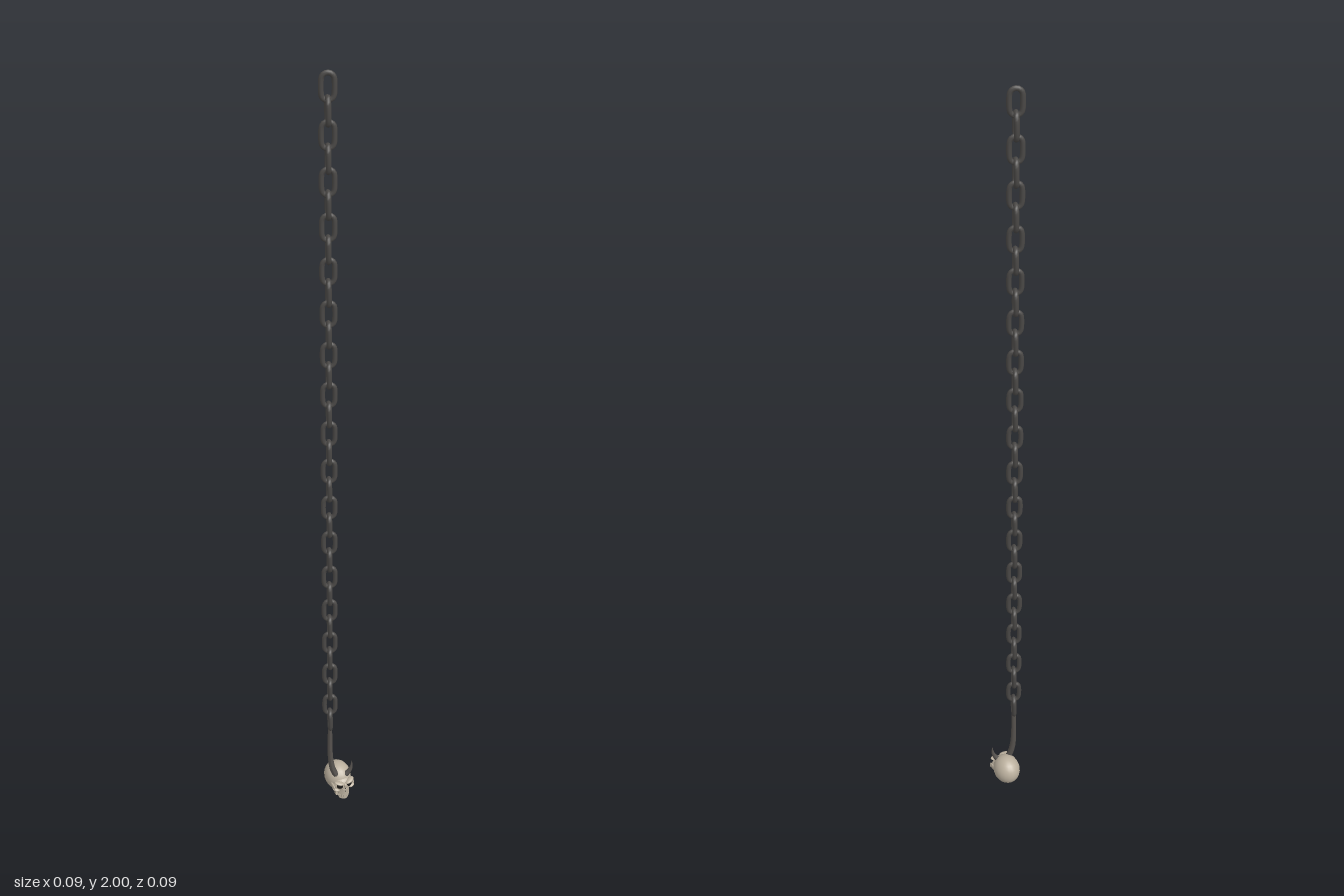
import * as THREE from 'three';

const bone = new THREE.MeshStandardMaterial({ color: 0xbbb09e });
const iron = new THREE.MeshStandardMaterial({ color: 0x4a4846 });
const dark = new THREE.MeshStandardMaterial({ color: 0x1c1a18 });
const hornMat = new THREE.MeshStandardMaterial({ color: 0x55514d });

function add(parent, name, geometry, material, pos = [0, 0, 0], scale = [1, 1, 1], rot = [0, 0, 0]) {
  const m = new THREE.Mesh(geometry, material);
  m.name = name;
  m.position.set(...pos);
  m.scale.set(...scale);
  m.rotation.set(...rot);
  parent.add(m);
  return m;
}

// Tube along points whose radius shrinks from r0 to r1
function taperedTube(points, r0, r1, segments, sides) {
  const curve = new THREE.CatmullRomCurve3(points.map(p => new THREE.Vector3(...p)));
  const geo = new THREE.TubeGeometry(curve, segments, r0, sides);
  const pos = geo.attributes.position, v = new THREE.Vector3();
  for (let i = 0; i < pos.count; i++) {
    const t = Math.floor(i / (sides + 1)) / segments;
    const c = curve.getPointAt(t);
    v.fromBufferAttribute(pos, i).sub(c).multiplyScalar(THREE.MathUtils.lerp(1, r1 / r0, t)).add(c);
    pos.setXYZ(i, v.x, v.y, v.z);
  }
  geo.computeVertexNormals();
  return geo;
}

// Oblong chain link standing in the xy plane
function linkGeometry() {
  const pts = [], r = 0.0138, straight = 0.0152;
  for (const end of [1, -1]) {
    for (let i = 0; i <= 6; i++) {
      const a = (i / 6) * Math.PI + (end < 0 ? Math.PI : 0);
      pts.push(new THREE.Vector3(Math.cos(a) * r, Math.sin(a) * r + end * straight, 0));
    }
  }
  return new THREE.TubeGeometry(new THREE.CatmullRomCurve3(pts, true), 28, 0.006, 8, true);
}

// Tapering block: wide at the top, narrower below
function taperedBox(w, h, d, bottom) {
  const geo = new THREE.BoxGeometry(w, h, d, 4, 2, 2);
  const p = geo.attributes.position;
  for (let i = 0; i < p.count; i++) {
    const k = THREE.MathUtils.lerp(bottom, 1, p.getY(i) / h + 0.5);
    const x = p.getX(i) * k;
    p.setX(i, x);
    // round the front of the block
    if (p.getZ(i) > 0) p.setZ(i, p.getZ(i) - d * 0.5 * (2 * x / w) ** 2);
  }
  geo.computeVertexNormals();
  return geo;
}

function createSkull() {
  const skull = new THREE.Group();
  skull.name = 'skull';
  const ball = new THREE.SphereGeometry(1, 20, 14);

  add(skull, 'cranium', ball, bone, [0, 0.002, 0], [0.0355, 0.04, 0.041]);
  add(skull, 'face', ball, bone, [0, -0.004, 0.031], [0.029, 0.022, 0.018]);
  add(skull, 'upperJaw', taperedBox(0.036, 0.02, 0.03, 0.85), bone, [0, -0.021, 0.037]);
  add(skull, 'lowerJaw', taperedBox(0.033, 0.011, 0.026, 0.8), bone, [0, -0.0395, 0.037]);
  add(skull, 'mouth', taperedBox(0.028, 0.008, 0.022, 1), dark, [0, -0.033, 0.037]);
  add(skull, 'noseHole', new THREE.ConeGeometry(0.0048, 0.011, 3), dark,
    [0, -0.012, 0.0495], [1, 1, 0.7], [-0.1, 0, 0]);
  add(skull, 'noseBridge', ball, bone, [0, 0.001, 0.048], [0.004, 0.007, 0.005]);

  for (const s of [-1, 1]) {
    add(skull, 'eyeSocket', ball, dark, [s * 0.0135, 0.001, 0.044], [0.0088, 0.0085, 0.006], [0, s * 0.35, 0]);
    // brow slopes down to the nose
    add(skull, 'brow', ball, bone, [s * 0.015, 0.011, 0.044], [0.014, 0.0042, 0.008], [0, s * 0.4, s * 0.25]);
    add(skull, 'cheekbone', ball, bone, [s * 0.0225, -0.011, 0.039], [0.0105, 0.0045, 0.008], [0, s * 0.6, s * 0.25]);
    add(skull, 'cheekArch', ball, bone, [s * 0.0285, -0.004, 0.028], [0.0035, 0.008, 0.015]);
    add(skull, 'jawBranch', new THREE.BoxGeometry(0.005, 0.027, 0.009), bone,
      [s * 0.0165, -0.029, 0.025], [1, 1, 1], [-0.15, 0, 0]);
  }

  // Upper and lower teeth along the curved front of the jaw
  const tooth = new THREE.BoxGeometry(0.0036, 0.0055, 0.003);
  for (let i = -3; i <= 3; i++) {
    const z = 0.0505 - 0.0009 * i * i;
    add(skull, 'upperTooth', tooth, bone, [i * 0.0042, -0.0312, z]);
    add(skull, 'lowerTooth', tooth, bone, [i * 0.0042, -0.0366, z - 0.001], [0.9, 0.8, 1]);
  }

  skull.position.set(-0.003, 0.045, -0.01);
  skull.rotation.y = 0.35;
  return skull;
}

export function createModel() {
  const model = new THREE.Group();
  model.name = 'hangingSkullChain';

  // Chain of links turned alternately by a quarter
  const chain = new THREE.Group();
  chain.name = 'chain';
  const link = linkGeometry();
  for (let i = 0; i < 34; i++) {
    add(chain, 'chainLink', link, iron, [0, 1.965 - i * 0.0515, 0], [1, 1, 1], [0, i % 2 ? Math.PI / 2 : 0, 0]);
  }
  chain.position.set(-0.025, 0, 0.012);
  model.add(chain);

  // Long horn that joins the skull to the chain
  const long = [[-0.008, 0.066, 0.014], [-0.016, 0.083, 0.014], [-0.022, 0.11, 0.013], [-0.025, 0.15, 0.012], [-0.025, 0.236, 0.012]];
  add(model, 'longHorn', taperedTube(long, 0.0085, 0.0058, 24, 10), hornMat);
  add(model, 'longHornEnd', new THREE.SphereGeometry(0.0058, 10, 6), hornMat, [-0.025, 0.236, 0.012]);

  // Short pointed horn on the other side
  const short = [[0.018, 0.066, 0.011], [0.026, 0.076, 0.011], [0.032, 0.09, 0.011], [0.034, 0.112, 0.011]];
  add(model, 'shortHorn', taperedTube(short, 0.0085, 0.0006, 16, 10), hornMat);

  model.add(createSkull());
  return model;
}
